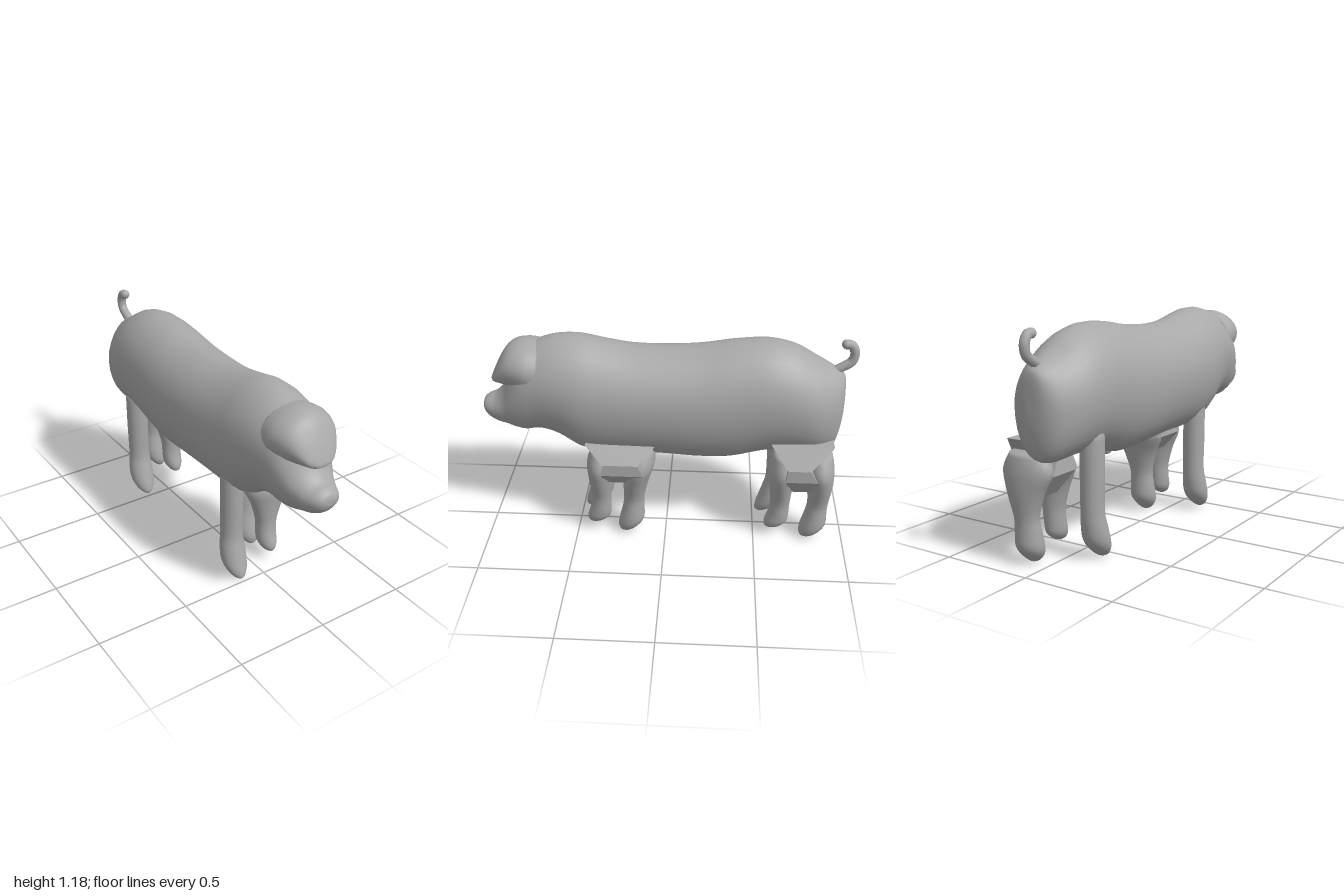
import * as THREE from 'three';

const SEG = 28;

// Skin a list of closed rings (arrays of [x, y, z]) and close both ends.
function loft(rings) {
  const n = rings[0].length, pos = [], idx = [];
  rings.forEach((r) => r.forEach((p) => pos.push(...p)));
  for (let i = 0; i < rings.length - 1; i++) {
    for (let j = 0; j < n; j++) {
      const k = (j + 1) % n;
      const a = i * n + j, b = i * n + k, c = a + n, d = b + n;
      idx.push(a, b, c, b, d, c);
    }
  }
  const cap = (row, flip) => {
    const centre = pos.length / 3;
    const mid = [0, 1, 2].map((q) => rings[row].reduce((s, p) => s + p[q], 0) / n);
    pos.push(...mid);
    for (let j = 0; j < n; j++) {
      const a = row * n + j, b = row * n + (j + 1) % n;
      if (flip) idx.push(centre, b, a);
      else idx.push(centre, a, b);
    }
  };
  cap(0, true);
  cap(rings.length - 1, false);
  const g = new THREE.BufferGeometry();
  g.setAttribute('position', new THREE.Float32BufferAttribute(pos, 3));
  g.setIndex(idx);
  g.computeVertexNormals();
  return g;
}

// Insert smoothly interpolated rows between the key rows.
function refine(rows, steps) {
  const out = [], at = (i) => rows[Math.min(Math.max(i, 0), rows.length - 1)];
  for (let i = 0; i < rows.length - 1; i++) {
    for (let s = 0; s < steps; s++) {
      const t = s / steps;
      out.push(rows[i].map((_, k) => {
        const a = at(i - 1)[k], b = at(i)[k], c = at(i + 1)[k], d = at(i + 2)[k];
        return b + 0.5 * t * (c - a + t * (2 * a - 5 * b + 4 * c - d + t * (3 * (b - c) + d - a)));
      }));
    }
  }
  out.push(rows[rows.length - 1]);
  return out;
}

const angles = Array.from({ length: SEG }, (_, j) => (j / SEG) * Math.PI * 2);
const CX = -0.013;

// Rows along z: [z, top, bottom, half width]; the back is a little peaked.
function trunk(rows) {
  return loft(refine(rows, 4).map(([z, top, bottom, w]) => {
    const mid = bottom + (top - bottom) * 0.53;
    return angles.map((t) => {
      const c = Math.cos(t), s = Math.sin(t);
      const x = Math.sign(c) * Math.pow(Math.abs(c), s > 0 ? 1.15 : 0.95);
      return [CX + w * x, mid + s * (s > 0 ? top - mid : mid - bottom), z];
    });
  }));
}

// Rows from top to bottom: [y, x, z, half width, half depth].
function limb(rows) {
  return loft(refine(rows, 3).map(([y, x, z, rx, rz]) =>
    angles.map((t) => [x + rx * Math.cos(t), y, z + rz * Math.sin(t)])));
}

export function createModel() {
  const model = new THREE.Group();
  model.name = 'pig';
  const skin = new THREE.MeshStandardMaterial({ color: 0xa8a8a8 });
  skin.name = 'grey skin';
  const add = (name, geometry) => {
    const mesh = new THREE.Mesh(geometry, skin);
    mesh.name = name;
    model.add(mesh);
    return mesh;
  };

  // Body running from the rump to the snout
  add('body', trunk([
    [-0.945, 0.92, 0.78, 0.03], [-0.938, 0.98, 0.68, 0.075], [-0.91, 1.01, 0.57, 0.125],
    [-0.86, 1.04, 0.535, 0.165], [-0.78, 1.085, 0.535, 0.205], [-0.67, 1.145, 0.54, 0.225],
    [-0.53, 1.175, 0.53, 0.234], [-0.35, 1.162, 0.485, 0.238], [-0.18, 1.133, 0.48, 0.24],
    [0, 1.12, 0.492, 0.24], [0.18, 1.123, 0.498, 0.238], [0.33, 1.148, 0.498, 0.236],
    [0.46, 1.174, 0.52, 0.233], [0.58, 1.17, 0.595, 0.215], [0.68, 1.14, 0.625, 0.195],
    [0.76, 1.1, 0.612, 0.175], [0.82, 1.0, 0.622, 0.15], [0.87, 0.89, 0.64, 0.122],
    [0.92, 0.83, 0.655, 0.1], [0.965, 0.808, 0.68, 0.078], [0.99, 0.79, 0.71, 0.055],
    [1.0, 0.765, 0.735, 0.025],
  ]));

  // Brow hood overhanging the snout
  add('brow', trunk([
    [0.66, 1.135, 0.82, 0.17], [0.73, 1.142, 0.85, 0.178], [0.79, 1.135, 0.87, 0.165],
    [0.84, 1.105, 0.885, 0.143], [0.885, 1.04, 0.893, 0.112], [0.92, 0.97, 0.9, 0.075],
    [0.938, 0.93, 0.91, 0.03],
  ]));

  // Curled tail
  const tailPath = new THREE.CatmullRomCurve3([
    [0.98, -0.85], [1.02, -0.91], [1.06, -0.965], [1.11, -0.975], [1.15, -0.955], [1.155, -0.93],
  ].map(([y, z]) => new THREE.Vector3(CX, y, z)));
  add('tail', new THREE.TubeGeometry(tailPath, 28, 0.025, 12));
  const tip = add('tailTip', new THREE.SphereGeometry(0.026, 12, 10));
  tip.position.set(CX, 1.155, -0.928);

  // Small bump under the belly
  const bump = add('bellyBump', new THREE.SphereGeometry(0.04, 14, 10));
  bump.scale.set(0.8, 0.7, 1);
  bump.position.set(CX, 0.5, -0.35);

  // Straight legs on the right
  for (const [name, z] of [['rightFrontLeg', 0.37], ['rightRearLeg', -0.63]]) {
    add(name, limb([
      [0.68, -0.128, z, 0.062, 0.062], [0.45, -0.128, z, 0.062, 0.062],
      [0.26, -0.127, z, 0.061, 0.06], [0.18, -0.129, z + 0.01, 0.068, 0.066],
      [0.11, -0.13, z + 0.026, 0.07, 0.07], [0.06, -0.13, z + 0.05, 0.06, 0.06],
      [0.02, -0.13, z + 0.075, 0.035, 0.04], [0.004, -0.13, z + 0.085, 0.012, 0.018],
    ]));
  }

  // Paired legs on the left, the first of each pair lifted slightly
  const pairs = [['Front', 0.365, 0.175], ['Rear', -0.635, -0.85]];
  for (const [name, za, zb] of pairs) {
    const lean = name === 'Front' ? -0.065 : 0;
    add(`left${name}ForwardLeg`, limb([
      [0.56, 0.1, za - 0.015, 0.09, 0.055], [0.47, 0.1, za - 0.01, 0.13, 0.078],
      [0.37, 0.11, za - 0.005, 0.1, 0.066], [0.25, 0.108, za - 0.005, 0.063, 0.056],
      [0.17, 0.106, za, 0.058, 0.058], [0.11, 0.105, za + 0.012, 0.052, 0.064],
      [0.075, 0.105, za + 0.03, 0.033, 0.045], [0.06, 0.105, za + 0.04, 0.012, 0.02],
    ]));
    add(`left${name}BackLeg`, limb([
      [0.57, 0.1, zb + lean + 0.01, 0.1, 0.06], [0.48, 0.1, zb + lean * 0.75 + 0.01, 0.145, 0.08],
      [0.37, 0.11, zb + lean * 0.2, 0.105, 0.072], [0.25, 0.108, zb, 0.068, 0.058],
      [0.18, 0.106, zb + 0.005, 0.07, 0.06], [0.1, 0.105, zb + 0.015, 0.074, 0.07],
      [0.05, 0.105, zb + 0.035, 0.06, 0.058], [0.015, 0.105, zb + 0.05, 0.03, 0.035],
      [0.004, 0.105, zb + 0.055, 0.01, 0.015],
    ]));
  }

  // Faceted hip blocks above the paired legs: [y, inner x, outer x, back z, front z]
  const block = (rows) => {
    const g = loft(rows.map(([y, x0, x1, z0, z1]) =>
      [[x1, y, z0], [x1, y, z1], [x0, y, z1], [x0, y, z0]])).toNonIndexed();
    g.computeVertexNormals();
    return g;
  };
  add('leftFrontHip', block([
    [0.61, 0.0, 0.175, 0.055, 0.43], [0.53, -0.03, 0.248, 0.14, 0.33],
    [0.465, -0.04, 0.25, 0.11, 0.34], [0.37, 0.04, 0.17, 0.2, 0.33],
  ]));
  add('leftRearHip', block([
    [0.64, 0.0, 0.175, -0.9, -0.57], [0.53, -0.03, 0.248, -0.78, -0.66],
    [0.46, -0.04, 0.25, -0.82, -0.65], [0.34, 0.05, 0.16, -0.81, -0.68],
  ]));

  return model;
}
